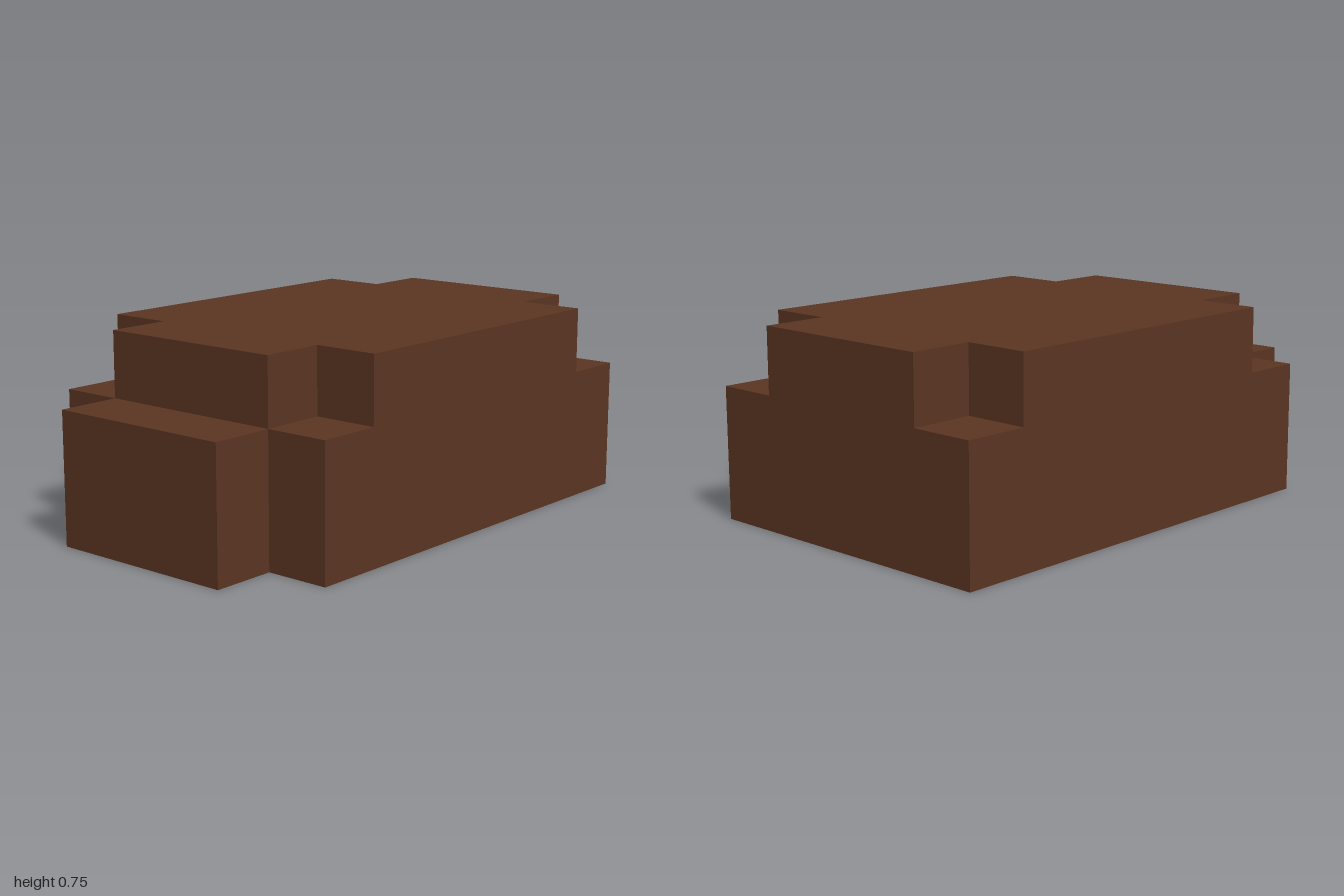
import * as THREE from 'three';

const HALF = 0.625;   // half width of the block
const INNER = 0.375;  // half width between the corner notches
const BACK = -1, SHOULDER = 0.75, FRONT = 1, NOTCH = 0.25;

// Extrudes a mirrored floor outline, given as [x, z] points of the +x half.
function slab(name, half, y, height, material) {
  const mirrored = half.map(([x, z]) => [-x, z]).reverse();
  const points = [...half, ...mirrored].map(([x, z]) => new THREE.Vector2(x, -z));
  const geometry = new THREE.ExtrudeGeometry(new THREE.Shape(points), { depth: height, bevelEnabled: false });
  geometry.rotateX(-Math.PI / 2);
  geometry.translate(0, y, 0);
  const mesh = new THREE.Mesh(geometry, material);
  mesh.name = name;
  return mesh;
}

export function createModel() {
  const brown = new THREE.MeshStandardMaterial({ color: 0x5b3522 });
  brown.name = 'dark brown';

  const group = new THREE.Group();
  group.name = 'steppedBlock';

  // Lower body with the narrow front projection
  group.add(slab('lowerBody', [
    [INNER, FRONT], [INNER, SHOULDER], [HALF, SHOULDER], [HALF, BACK],
  ], 0, 0.5, brown));

  // Upper layer with its four corners cut away
  group.add(slab('upperLayer', [
    [INNER, SHOULDER], [INNER, SHOULDER - NOTCH], [HALF, SHOULDER - NOTCH],
    [HALF, BACK + NOTCH], [INNER, BACK + NOTCH], [INNER, BACK],
  ], 0.5, 0.25, brown));

  return group;
}
